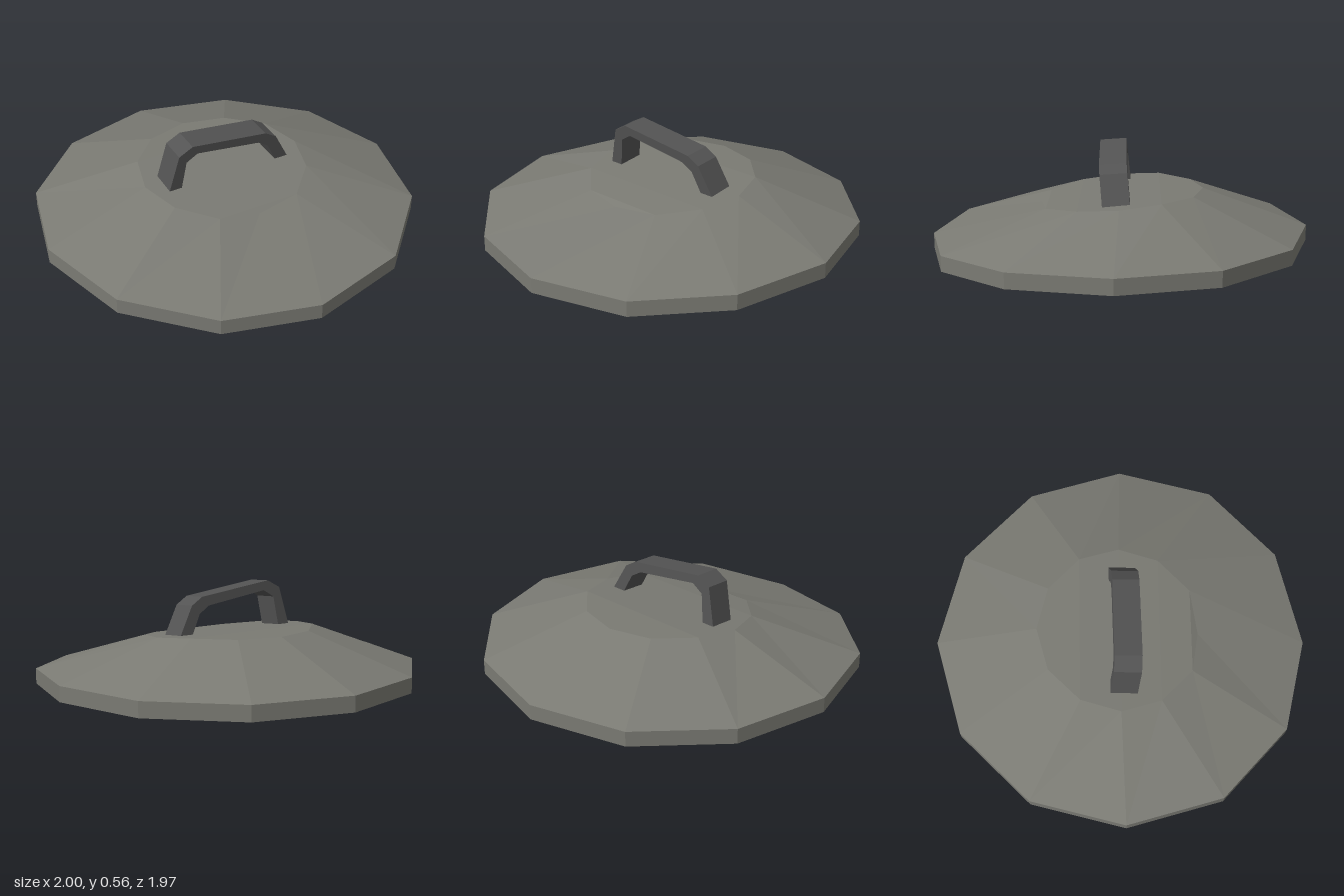
import * as THREE from 'three';

const SIDES = 12;

// Half outlines from back to front; the front edge is bent downwards.
const RIM = { r: 1, z: [-0.99, -0.855, -0.49, 0.005, 0.51, 0.86, 0.98], drop: [0, 0, 0, 0, 0.012, 0.038, 0.055] };
const CROWN = { r: 0.45, z: [-0.445, -0.385, -0.22, -0.01, 0.2, 0.365, 0.4], drop: [0, 0, 0, 0.018, 0.038, 0.063, 0.08] };

// Mirrored twelve-point loop at a given height, shrunk by scale
function loop(outline, y, scale = 1) {
  return Array.from({ length: SIDES }, (_, i) => {
    const k = Math.min(i, SIDES - i);
    const x = outline.r * Math.sin((i / SIDES) * Math.PI * 2);
    return [(k === 6 ? -0.015 : x) * scale, y - outline.drop[k], outline.z[k] * scale];
  });
}

function createLidGeometry() {
  const positions = [];
  const tri = (a, b, c) => {
    if (a !== b && b !== c && a !== c) positions.push(...a, ...b, ...c);
  };
  const quad = (a, b, c, d) => { tri(a, b, c); tri(a, c, d); };

  // Section from the inside of the crown, round the rim, to the outside
  const loops = [
    loop(CROWN, 0.29),
    loop(RIM, 0.125, 0.91),
    loop(RIM, 0.055, 0.91),
    loop(RIM, 0.055),
    loop(RIM, 0.135),
    loop(CROWN, 0.333),
  ];
  for (let l = 0; l < loops.length - 1; l++) {
    const a = loops[l], b = loops[l + 1];
    for (let i = 0; i < SIDES; i++) {
      const j = (i + 1) % SIDES;
      quad(a[j], a[i], b[i], b[j]);
    }
  }

  // Crown closed with strips running across x, above and below
  const top = loops[loops.length - 1], under = loops[0];
  for (let i = 0; i < SIDES / 2; i++) {
    const ids = [i, (SIDES - i) % SIDES, SIDES - 1 - i, i + 1];
    quad(...ids.map((n) => top[n]));
    quad(...ids.reverse().map((n) => under[n]));
  }

  const geometry = new THREE.BufferGeometry();
  geometry.setAttribute('position', new THREE.Float32BufferAttribute(positions, 3));
  geometry.computeVertexNormals();
  return geometry;
}

function createHandleGeometry() {
  // Lopsided arch: outer edge, then inner edge back again
  const outline = [
    [-0.355, 0.305], [-0.305, 0.512], [-0.23, 0.553], [0.2, 0.5], [0.265, 0.46], [0.35, 0.305],
    [0.275, 0.305], [0.22, 0.415], [0.16, 0.453], [-0.2, 0.503], [-0.262, 0.465], [-0.285, 0.305],
  ].map(([x, y]) => new THREE.Vector2(x, y));
  const geometry = new THREE.ExtrudeGeometry(new THREE.Shape(outline), { depth: 0.14, bevelEnabled: false });
  geometry.translate(0, 0, -0.065);

  // Lean the arch slightly towards the front
  const p = geometry.attributes.position;
  for (let i = 0; i < p.count; i++) {
    const y = p.getY(i), z = p.getZ(i);
    p.setY(i, y - 0.07 * z);
    p.setZ(i, z + 0.1 * (y - 0.305));
  }
  geometry.computeVertexNormals();
  return geometry;
}

export function createModel() {
  const lidMetal = new THREE.MeshStandardMaterial({ color: 0x7a7a73, flatShading: true });
  lidMetal.name = 'lid grey';
  const handleMetal = new THREE.MeshStandardMaterial({ color: 0x535353, flatShading: true });
  handleMetal.name = 'handle dark grey';

  const group = new THREE.Group();
  group.name = 'bentLid';

  const lid = new THREE.Mesh(createLidGeometry(), lidMetal);
  lid.name = 'lid';
  const handle = new THREE.Mesh(createHandleGeometry(), handleMetal);
  handle.name = 'handle';
  group.add(lid, handle);
  return group;
}
